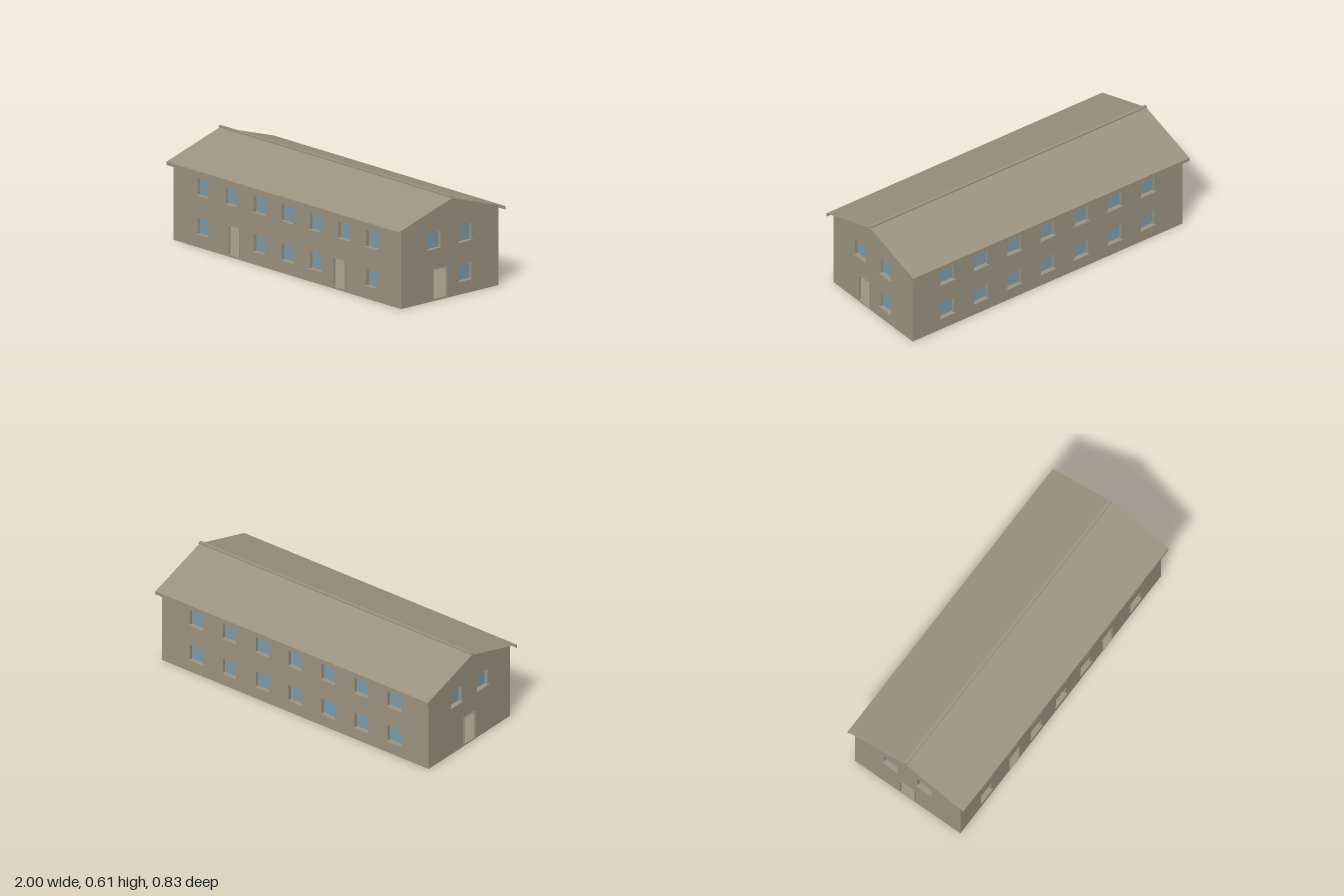
import * as THREE from 'three';

const HALF_X = 0.978, HALF_Z = 0.377;   // wall planes
const EAVE = 0.48, RIDGE = 0.595;       // wall heights
const RECESS = 0.022;                   // depth of window reveals

const plaster = new THREE.MeshStandardMaterial({ color: 0x9a927f, side: THREE.DoubleSide });
plaster.name = 'plaster';
const glass = new THREE.MeshStandardMaterial({ color: 0x7c99a8, side: THREE.DoubleSide });
glass.name = 'glass';

function add(parent, name, geometry, material, x = 0, y = 0, z = 0) {
  const mesh = new THREE.Mesh(geometry, material);
  mesh.name = name;
  mesh.position.set(x, y, z);
  parent.add(mesh);
  return mesh;
}

const box = (w, h, d) => new THREE.BoxGeometry(w, h, d);

function rectPath(Type, x0, y0, x1, y1) {
  return new Type([[x0, y0], [x1, y0], [x1, y1], [x0, y1]].map(p => new THREE.Vector2(...p)));
}

// Four-sided open tube lining an opening
function liningGeometry(w, h, d) {
  const g = new THREE.CylinderGeometry(Math.SQRT1_2, Math.SQRT1_2, 1, 4, 1, true)
    .rotateY(Math.PI / 4).rotateX(Math.PI / 2).scale(w, h, d).toNonIndexed();
  g.computeVertexNormals();
  return g;
}

// Recessed pane, reveal and projecting sill
function addWindow(wall, { u, y0, y1, w }) {
  const g = new THREE.Group();
  g.name = 'window';
  const h = y1 - y0, y = (y0 + y1) / 2;
  add(g, 'pane', new THREE.PlaneGeometry(w, h), glass, u, y, -RECESS);
  add(g, 'reveal', liningGeometry(w, h, RECESS), plaster, u, y, -RECESS / 2);
  add(g, 'sill', box(w + 0.014, 0.005, 0.009), plaster, u, y0 - 0.0015, 0.0045);
  wall.add(g);
}

// Slim frame around an empty doorway
function addDoorFrame(wall, { u, y0, y1, w }) {
  const t = 0.0045;
  const shape = rectPath(THREE.Shape, -w / 2 - t, y0, w / 2 + t, y1 + t);
  shape.holes.push(rectPath(THREE.Path, -w / 2, y0 + 0.001, w / 2, y1));
  const g = new THREE.ExtrudeGeometry(shape, { depth: 0.015, bevelEnabled: false });
  add(wall, 'doorFrame', g, plaster, u, 0, -0.01);
}

// One wall sheet with openings cut out, facing local +z
function makeWall(name, half, gabled, windows, doors) {
  const wall = new THREE.Group();
  wall.name = name;
  const shape = new THREE.Shape();
  shape.moveTo(-half, 0).lineTo(half, 0).lineTo(half, EAVE);
  if (gabled) shape.lineTo(0, RIDGE);
  shape.lineTo(-half, EAVE).closePath();
  for (const { u, y0, y1, w } of [...windows, ...doors])
    shape.holes.push(rectPath(THREE.Path, u - w / 2, y0, u + w / 2, y1));
  add(wall, name + 'Sheet', new THREE.ShapeGeometry(shape), plaster);
  windows.forEach(o => addWindow(wall, o));
  doors.forEach(o => addDoorFrame(wall, o));
  return wall;
}

const upper = u => ({ u, y0: 0.312, y1: 0.413, w: 0.098 });
const lower = u => ({ u, y0: 0.078, y1: 0.179, w: 0.098 });
const door = (u, w) => ({ u, y0: 0.013, y1: 0.187, w });

export function createModel() {
  const model = new THREE.Group();
  model.name = 'longHouse';

  const bays = [-3, -2, -1, 0, 1, 2, 3].map(i => i * 0.242);
  const frontLower = bays.filter((_, i) => i !== 1 && i !== 5);

  // Long walls
  const front = makeWall('frontWall', HALF_X, false,
    [...bays.map(upper), ...frontLower.map(lower)], [door(-0.456, 0.092), door(0.45, 0.092)]);
  front.position.z = HALF_Z;
  const back = makeWall('backWall', HALF_X, false, [...bays.map(upper), ...bays.map(lower)], []);
  back.position.z = -HALF_Z;
  back.rotation.y = Math.PI;

  // Gable walls
  const left = makeWall('leftGable', HALF_Z, true,
    [upper(-0.121), upper(0.121), lower(0.121)], [door(-0.076, 0.102)]);
  left.position.x = HALF_X;
  left.rotation.y = Math.PI / 2;
  const right = makeWall('rightGable', HALF_Z, true,
    [upper(-0.121), upper(0.121)], [door(0, 0.102)]);
  right.position.x = -HALF_X;
  right.rotation.y = -Math.PI / 2;
  model.add(front, back, left, right);

  // Floor
  add(model, 'floor', new THREE.PlaneGeometry(2 * HALF_X, 2 * HALF_Z).rotateX(-Math.PI / 2), plaster);

  // Roof slopes and eaves boards on both sides
  const run = 0.411, top = 0.598, drop = 0.127;
  for (const s of [1, -1]) {
    const slope = new THREE.PlaneGeometry(2, Math.hypot(run, drop)).rotateX(-Math.PI / 2);
    const roof = add(model, 'roofSlope', slope, plaster, 0, top - drop / 2, s * run / 2);
    roof.rotation.x = s * Math.atan2(drop, run);
    add(model, 'eavesBoard', box(2, 0.02, 0.005), plaster, 0, 0.461, s * 0.411);
  }

  // Ridge cap
  add(model, 'ridgeCap', box(2, 0.009, 0.02), plaster, 0, 0.6055, 0);
  return model;
}
